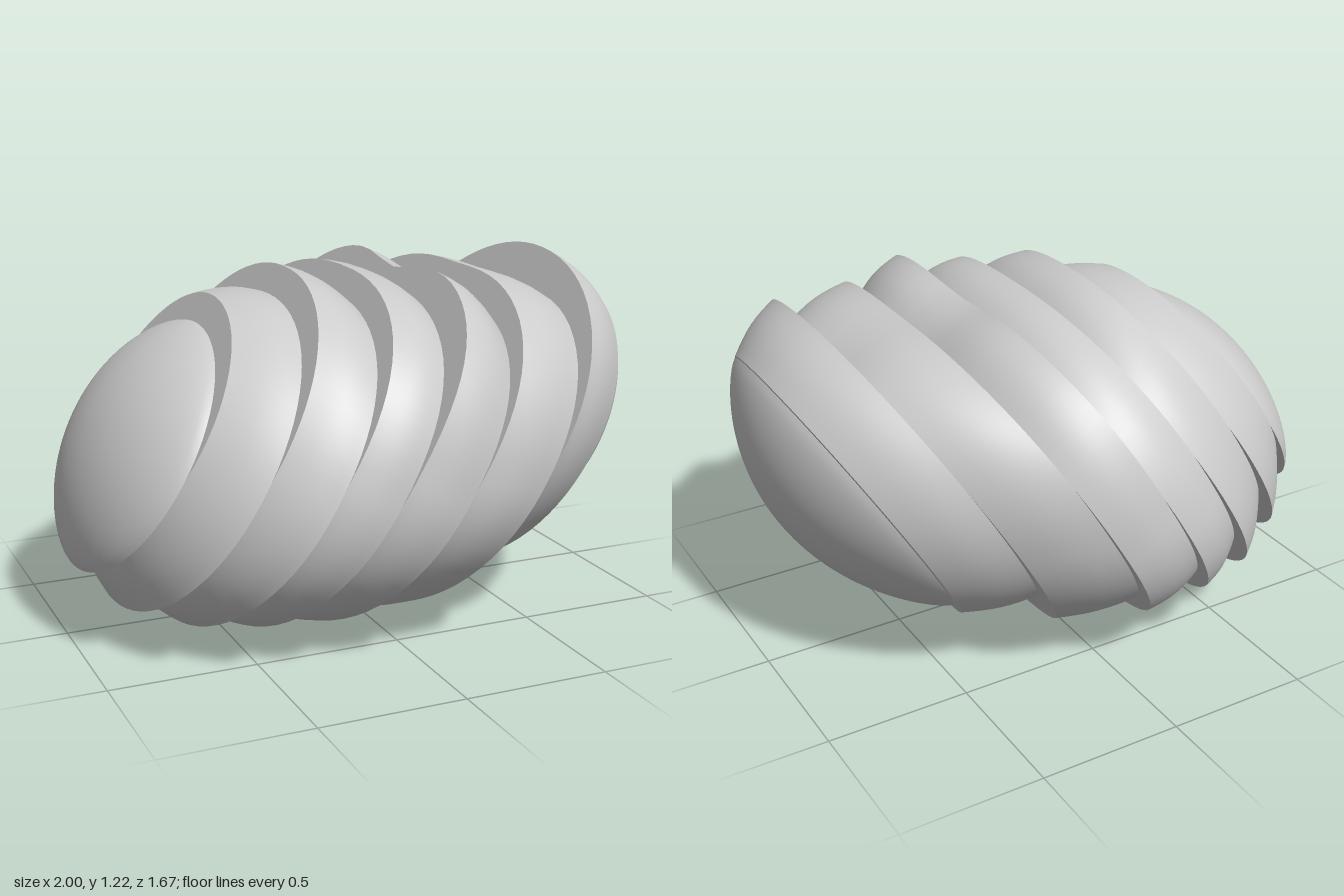
import * as THREE from 'three';
import { mergeVertices } from 'three/addons/utils/BufferGeometryUtils.js';

const SIDES = 72;
const SLOPE = 0.594; // x gained per unit of height along a slanted cut
const GAP = 0.002;

// Cross-section in a slanted cut plane: x0 = where the plane meets the ground,
// bot/top = height range, back/front = z range, p = squareness of the top, dip = groove in the top
const cut = (x0, bot, top, back, front, p = 2, dip = 0) => ({ x0, bot, top, back, front, p, dip });

function mix(a, b, t, bulge) {
  const r = {};
  for (const k in a) r[k] = a[k] + (b[k] - a[k]) * t;
  r.bot -= bulge; r.top += bulge; r.back -= bulge; r.front += bulge;
  return r;
}

function ringPoints(c) {
  const mid = (c.bot + c.top) / 2, half = (c.top - c.bot) / 2;
  const points = [];
  for (let i = 0; i < SIDES; i++) {
    const a = (i / SIDES) * Math.PI * 2;
    const cs = Math.cos(a), sn = Math.sin(a);
    const p = 2 / (sn > 0 ? c.p : 2.03);
    const z = Math.sign(cs) * Math.abs(cs) ** p * (cs > 0 ? c.front : -c.back);
    let y = mid + Math.sign(sn) * Math.abs(sn) ** p * half;
    if (sn > 0) y -= c.dip * Math.exp(-((z / 0.22) ** 2));
    points.push(new THREE.Vector3(c.x0 + SLOPE * y, y, z));
  }
  return points;
}

// Smooth skin through a row of rings
function skin(rings) {
  const pos = [], index = [];
  rings.forEach(r => r.forEach(v => pos.push(v.x, v.y, v.z)));
  for (let j = 0; j < rings.length - 1; j++) {
    for (let i = 0; i < SIDES; i++) {
      const a = j * SIDES + i, b = j * SIDES + (i + 1) % SIDES;
      index.push(a, a + SIDES, b, b, a + SIDES, b + SIDES);
    }
  }
  let g = new THREE.BufferGeometry();
  g.setAttribute('position', new THREE.Float32BufferAttribute(pos, 3));
  g.setIndex(index);
  g = mergeVertices(g, 1e-5);
  g.computeVertexNormals();
  return g;
}

// Flat cut face closing a ring
function face(ring, facesRight) {
  const centre = new THREE.Vector3();
  ring.forEach(v => centre.addScaledVector(v, 1 / SIDES));
  const pos = [];
  ring.forEach((v, i) => {
    const w = ring[(i + 1) % SIDES];
    for (const q of facesRight ? [centre, w, v] : [centre, v, w]) pos.push(q.x, q.y, q.z);
  });
  const g = new THREE.BufferGeometry();
  g.setAttribute('position', new THREE.Float32BufferAttribute(pos, 3));
  g.computeVertexNormals();
  return g;
}

// Rings of a rounded end that grows from a cut; the first ring is the cut itself
function domeRings(c, depth, lift, power) {
  const rings = [];
  for (let j = 0; j <= 24; j++) {
    const s = j === 24 ? 1 : Math.sin((j / 24) * Math.PI / 2);
    const k = Math.sqrt(1 - s ** power);
    const mid = (c.bot + c.top) / 2 + lift * s, half = (c.top - c.bot) / 2 * k;
    rings.push(ringPoints(cut(c.x0 + depth * s, mid - half, mid + half, c.back * k, c.front * k, c.p)));
  }
  return rings;
}

export function createModel() {
  const model = new THREE.Group();
  const material = new THREE.MeshStandardMaterial({ color: 0xcccccc });

  function addPart(name, rings, leftFace, rightFace) {
    const part = new THREE.Group();
    part.name = name;
    const add = (n, g) => {
      const m = new THREE.Mesh(g, material);
      m.name = n;
      part.add(m);
    };
    add('crust', skin(rings));
    if (leftFace) add('cutFace', face(rings[0], false));
    if (rightFace) add('cutFace', face(rings[rings.length - 1], true));
    model.add(part);
  }

  // Rounded ends
  addPart('rightEnd', domeRings(cut(-1.13 - GAP, 0.26, 1.04, -0.49, 0.53), -0.22, 0.11, 1.32).reverse(), false, true);
  addPart('leftEnd', domeRings(cut(0.31 + GAP, 0.16, 1.08, -0.56, 0.58), 0.292, -0.108, 1.2), true, false);

  // Slices between them: each has its own two cuts, so neighbours step past each other
  const slices = [
    [cut(-1.13, 0.34, 1.13, -0.5, 0.53), cut(-0.92, 0.12, 1.12, -0.65, 0.7, 2.1)],
    [cut(-0.92, 0.2, 1.21, -0.63, 0.69, 2.15), cut(-0.7, 0.05, 1.12, -0.77, 0.79, 2.3)],
    [cut(-0.7, 0.12, 1.2, -0.75, 0.78, 2.4), cut(-0.49, 0.02, 1.13, -0.825, 0.82, 2.4)],
    [cut(-0.49, 0.08, 1.23, -0.82, 0.82, 2.7, 0.05), cut(-0.245, 0.005, 1.1, -0.825, 0.825, 2.5, 0.03)],
    [cut(-0.245, 0.06, 1.19, -0.81, 0.82, 2.4, 0.01), cut(0.045, 0.02, 1.11, -0.69, 0.78, 2.2, 0.03)],
    [cut(0.045, 0.13, 1.225, -0.68, 0.77), cut(0.31, 0.12, 1.08, -0.57, 0.61)],
  ];
  slices.forEach(([a, b], n) => {
    const rings = [];
    for (let j = 0; j <= 8; j++) {
      const t = j / 8;
      const c = mix(a, b, t, 0.013 * Math.sin(Math.PI * t));
      c.x0 += GAP * (1 - 2 * t);
      rings.push(ringPoints(c));
    }
    addPart('slice' + (n + 1), rings, true, true);
  });
  return model;
}
